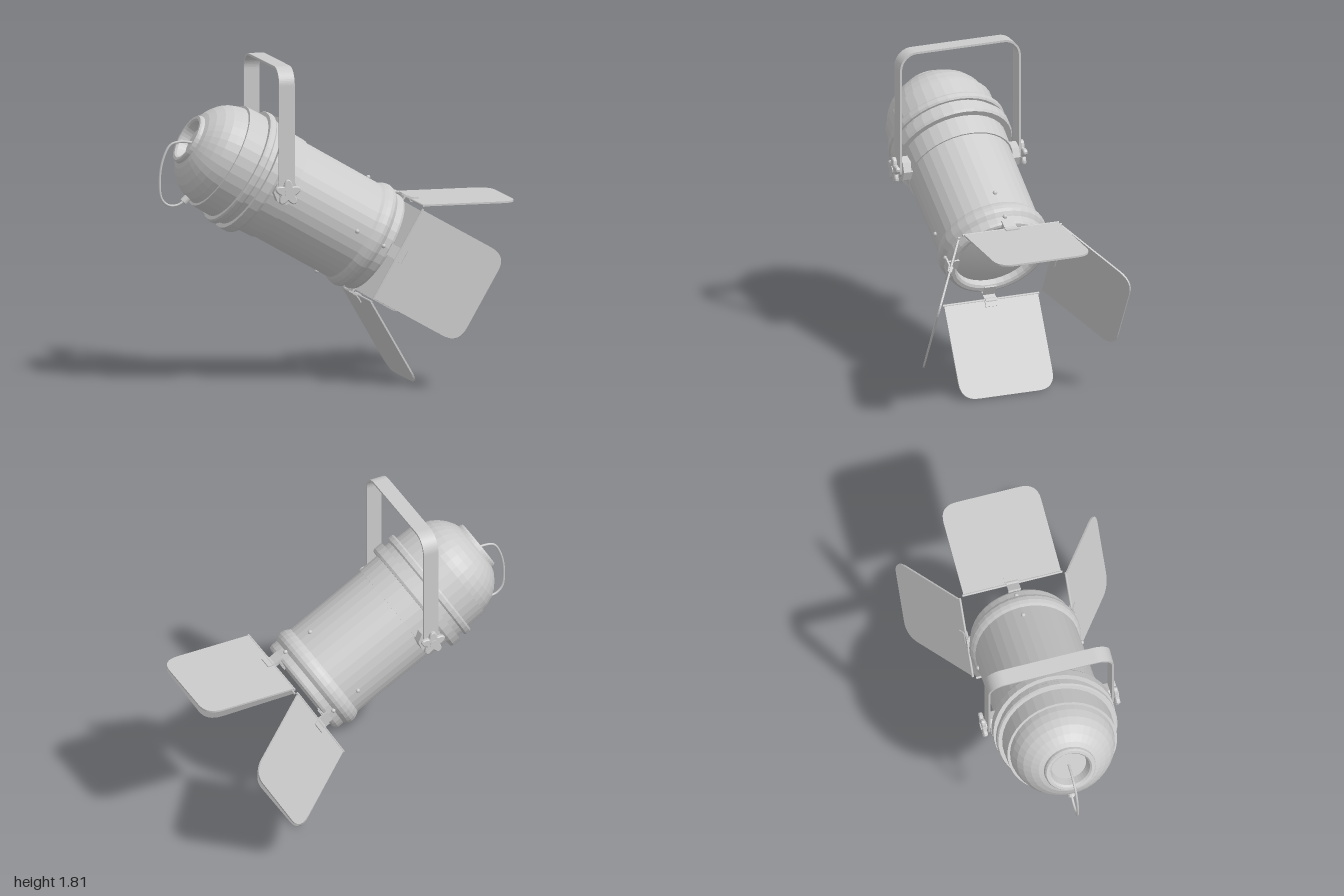
import * as THREE from 'three';

const flat = new THREE.MeshStandardMaterial({ color: 0xcccccc, flatShading: true });
const smooth = new THREE.MeshStandardMaterial({ color: 0xcccccc });

function add(parent, name, geometry, material = flat, x = 0, y = 0, z = 0) {
  const mesh = new THREE.Mesh(geometry, material);
  mesh.name = name;
  mesh.position.set(x, y, z);
  parent.add(mesh);
  return mesh;
}

// Turned part along the lamp axis (local x), profile as [along, radius]
function turned(profile) {
  const pts = profile.map(([s, r]) => new THREE.Vector2(r, s));
  return new THREE.LatheGeometry(pts, 36).rotateZ(-Math.PI / 2);
}

// Flap: square at the hinge, rounded at the far corners
function flapGeometry() {
  const L = 0.543, w = 0.28, r = 0.1, t = 0.01;
  const s = new THREE.Shape();
  s.moveTo(0, -w);
  s.lineTo(L - r, -w);
  s.quadraticCurveTo(L, -w, L, -w + r);
  s.lineTo(L, w - r);
  s.quadraticCurveTo(L, w, L - r, w);
  s.lineTo(0, w);
  s.closePath();
  return new THREE.ExtrudeGeometry(s, { depth: t, bevelEnabled: false, curveSegments: 8 })
    .rotateX(Math.PI / 2).translate(0, t / 2, 0);
}

// Flat strap bent into an upside-down U
function yokeGeometry(bottom, top, half, width) {
  const s = new THREE.Shape(), t = 0.012, r = 0.1;
  s.moveTo(-half, bottom);
  s.lineTo(-half, top - r);
  s.absarc(-half + r, top - r, r, Math.PI, Math.PI / 2, true);
  s.absarc(half - r, top - r, r, Math.PI / 2, 0, true);
  s.lineTo(half, bottom);
  s.lineTo(half - t, bottom);
  s.absarc(half - r, top - r, r - t, 0, Math.PI / 2, false);
  s.absarc(-half + r, top - r, r - t, Math.PI / 2, Math.PI, false);
  s.lineTo(-half + t, bottom);
  s.closePath();
  return new THREE.ExtrudeGeometry(s, { depth: width, bevelEnabled: false, curveSegments: 8 })
    .translate(0, 0, -width / 2).rotateY(Math.PI / 2);
}

// Five-lobed hand knob, facing +z
function knobGeometry() {
  const pts = [];
  for (let i = 0; i < 50; i++) {
    const a = (i / 50) * Math.PI * 2, r = 0.054 + 0.016 * Math.cos(5 * a);
    pts.push(new THREE.Vector2(r * Math.cos(a), r * Math.sin(a)));
  }
  return new THREE.ExtrudeGeometry(new THREE.Shape(pts),
    { depth: 0.014, bevelThickness: 0.005, bevelSize: 0.005, bevelSegments: 1 });
}

export function createModel() {
  const model = new THREE.Group();
  model.name = 'stageSpotlight';
  const px = -0.36, py = 1.115;

  // Lamp tilted down about the yoke pivot
  const lamp = new THREE.Group();
  lamp.name = 'lamp';
  lamp.position.set(px, py, 0);
  lamp.rotation.z = -Math.PI / 6;
  model.add(lamp);

  // Housing: recessed back, dome, stepped bands, tube, bead and rim
  add(lamp, 'housing', turned([
    [-0.495, 0], [-0.495, 0.1], [-0.54, 0.112], [-0.55, 0.122], [-0.55, 0.138], [-0.54, 0.145],
    [-0.525, 0.147], [-0.515, 0.175], [-0.49, 0.213], [-0.455, 0.25], [-0.415, 0.276],
    [-0.37, 0.292], [-0.335, 0.298], [-0.335, 0.313], [-0.215, 0.316], [-0.215, 0.338],
    [-0.205, 0.344], [-0.18, 0.344], [-0.17, 0.336], [-0.17, 0.322], [-0.135, 0.322],
    [-0.135, 0.348], [-0.085, 0.348], [-0.07, 0.34], [-0.07, 0.308], [0.056, 0.305],
    [0.056, 0.297], [0.56, 0.295], [0.575, 0.305], [0.595, 0.314], [0.62, 0.317],
    [0.64, 0.312], [0.655, 0.3], [0.662, 0.294], [0.7, 0.294], [0.714, 0.288],
    [0.72, 0.275], [0.718, 0.255], [0.708, 0.242], [0.67, 0.24],
  ]));
  add(lamp, 'lens', turned([[0.672, 0.245], [0.682, 0.17], [0.688, 0.08], [0.69, 0]]), smooth);

  // Four flaps with hinges and screws, one per quarter turn
  const flapGeo = flapGeometry();
  const pinGeo = new THREE.CylinderGeometry(0.007, 0.007, 0.575, 8).rotateX(Math.PI / 2);
  const barrelGeo = new THREE.CylinderGeometry(0.015, 0.015, 0.07, 10).rotateX(Math.PI / 2);
  const screwGeo = new THREE.SphereGeometry(0.013, 10, 8);
  for (let i = 0; i < 4; i++) {
    const quarter = new THREE.Group();
    quarter.name = 'flapAssembly';
    quarter.rotation.x = (i * Math.PI) / 2;
    lamp.add(quarter);
    add(quarter, 'rimClip', new THREE.BoxGeometry(0.01, 0.07, 0.07), flat, 0.722, 0.275, 0);
    add(quarter, 'hingeStrap', new THREE.BoxGeometry(0.07, 0.01, 0.07), flat, 0.735, 0.307, 0);
    for (const s of [0.49, 0.666]) add(quarter, 'screw', screwGeo, smooth, s, 0.297, 0);

    const flap = new THREE.Group();
    flap.name = 'flap';
    flap.position.set(0.763, 0.304, 0);
    flap.rotation.z = Math.PI / 6;
    quarter.add(flap);
    add(flap, 'flapPanel', flapGeo);
    add(flap, 'hingePin', pinGeo, smooth);
    add(flap, 'hingeBarrel', barrelGeo, smooth, 0.004, 0, 0);
    add(flap, 'flapClip', new THREE.BoxGeometry(0.035, 0.024, 0.08), flat, 0.023, 0, 0);
  }

  // Yoke, pivots and knobs
  add(model, 'yoke', yokeGeometry(py, 1.812, 0.36, 0.09), flat, px, 0, 0);
  for (const side of [1, -1]) {
    const pivot = new THREE.Group();
    pivot.name = side > 0 ? 'frontPivot' : 'backPivot';
    pivot.position.set(px, py, 0);
    pivot.rotation.y = side > 0 ? 0 : Math.PI;
    model.add(pivot);
    const disc = (name, r, z0, z1, n = 24) => add(pivot, name,
      new THREE.CylinderGeometry(r, r, z1 - z0, n).rotateX(Math.PI / 2), flat, 0, 0, (z0 + z1) / 2);
    disc('pivotHub', 0.072, 0.27, 0.347, 8);
    disc('yokeEnd', 0.045, 0.348, 0.36);
    disc('knobShaft', 0.025, 0.34, 0.38);
    add(pivot, 'knob', knobGeometry(), flat, 0, 0, 0.373).rotation.z = 0.3;
    disc('knobCap', 0.022, 0.38, 0.397);
  }

  // Power cable looping from the back recess to a gland under the dome
  const path = new THREE.CatmullRomCurve3([
    [-0.79, 1.36], [-0.87, 1.37], [-0.93, 1.355], [-0.975, 1.27], [-0.993, 1.15],
    [-0.98, 1.05], [-0.94, 1.015], [-0.89, 1.015], [-0.84, 1.045],
  ].map(([x, y]) => new THREE.Vector3(x, y, 0)));
  add(model, 'cable', new THREE.TubeGeometry(path, 48, 0.007, 8), smooth);
  add(model, 'cableGland', new THREE.CylinderGeometry(0.022, 0.022, 0.07, 12), flat, -0.832, 1.055, 0)
    .rotation.z = -Math.PI / 4;

  return model;
}
